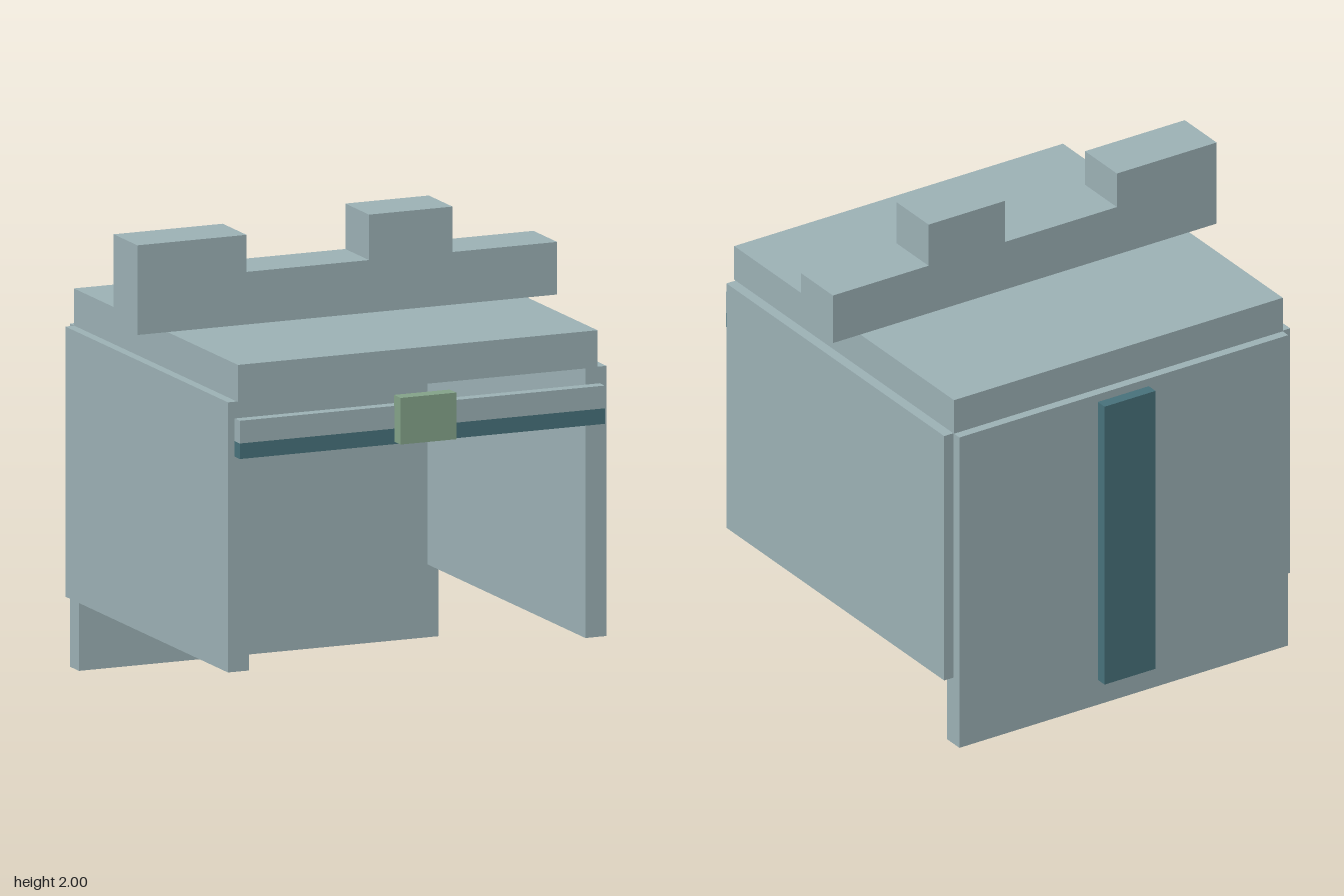
import * as THREE from 'three';

const material = (name, color) => {
  const m = new THREE.MeshStandardMaterial({ color });
  m.name = name;
  return m;
};

export function createModel() {
  const grey = material('paleGrey', 0x9bb0b4);
  const teal = material('deepTeal', 0x47717a);
  const green = material('sageGreen', 0x83a288);
  const model = new THREE.Group();
  model.name = 'model';

  // Box given by its [min, max] range on each axis
  const block = (name, mat, [x0, x1], [y0, y1], [z0, z1], parent = model) => {
    const mesh = new THREE.Mesh(new THREE.BoxGeometry(x1 - x0, y1 - y0, z1 - z0), mat);
    mesh.position.set((x0 + x1) / 2, (y0 + y1) / 2, (z0 + z1) / 2);
    mesh.name = name;
    parent.add(mesh);
    return mesh;
  };

  // Body: roof slab, back panel and two side panels, open front and bottom
  block('roofSlab', grey, [-0.81, 0.805], [1.435, 1.59], [-0.815, 0.805]);
  block('backPanel', grey, [-0.81, 0.805], [0, 1.435], [-0.855, -0.765]);
  block('rightPanel', grey, [-0.85, -0.755], [0.305, 1.435], [-0.81, 0.795]);
  block('leftPanel', grey, [0.755, 0.85], [0.305, 1.435], [-0.81, 0.795]);

  // Crest: one stepped outline extruded from back to front
  const outline = [
    [-0.945, 1.59], [0.94, 1.59], [0.94, 1.81], [0.47, 1.81], [0.47, 2],
    [0.095, 2], [0.095, 1.81], [-0.455, 1.81], [-0.455, 1.965], [-0.945, 1.965],
  ];
  const crest = new THREE.Mesh(
    new THREE.ExtrudeGeometry(
      new THREE.Shape(outline.map(([x, y]) => new THREE.Vector2(x, y))),
      { depth: 0.235, bevelEnabled: false }
    ),
    grey
  );
  crest.position.z = -0.125;
  crest.name = 'steppedCrest';
  model.add(crest);

  // Belt across the front, with a coloured lower edge and a buckle
  const belt = new THREE.Group();
  belt.name = 'frontBelt';
  model.add(belt);
  block('beltUpper', grey, [-0.82, 0.82], [1.27, 1.365], [0.795, 0.845], belt);
  block('beltLower', teal, [-0.82, 0.82], [1.205, 1.27], [0.795, 0.845], belt);
  block('buckle', green, [-0.125, 0.125], [1.215, 1.41], [0.84, 0.905], belt);

  // Upright strip on the back
  block('backStrip', teal, [-0.125, 0.125], [0.115, 1.4], [-0.905, -0.855]);

  return model;
}
